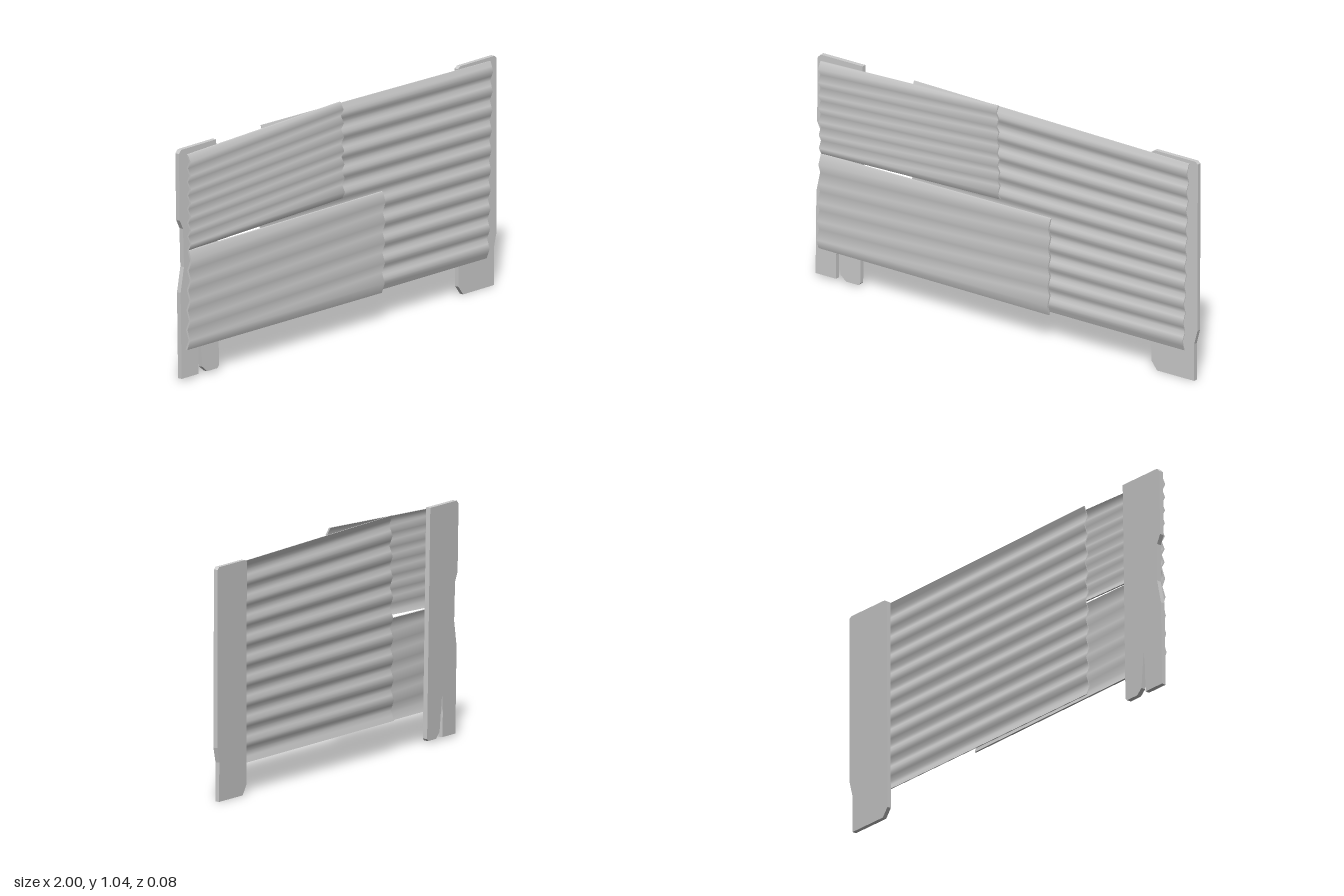
import * as THREE from 'three';

const material = new THREE.MeshStandardMaterial({ color: 0xcccccc });

// Corrugated sheet with thickness. Corners are [x, y, z] in the order
// top left, top right, bottom right, bottom left.
function corrugatedSheet(name, [tl, tr, br, bl], waves, steps, amplitude, thickness, phase) {
  const corners = [tl, tr, br, bl].map((c) => new THREE.Vector3(...c));
  const n = waves * steps;
  const pos = [], index = [];

  const point = (u, row, side) => {
    const v = row / n;
    const top = corners[0].clone().lerp(corners[1], u);
    const bottom = corners[3].clone().lerp(corners[2], u);
    const p = top.lerp(bottom, v);
    p.z += amplitude * Math.cos((row / steps) * Math.PI * 2 + phase) + side * thickness / 2;
    return p;
  };
  // A strip of quads between two rails, with its own vertices
  const strip = (count, left, right) => {
    const base = pos.length / 3;
    for (let i = 0; i <= count; i++) pos.push(...left(i).toArray(), ...right(i).toArray());
    for (let i = 0; i < count; i++) {
      const a = base + i * 2;
      index.push(a, a + 2, a + 1, a + 1, a + 2, a + 3);
    }
  };
  strip(n, (i) => point(0, i, 1), (i) => point(1, i, 1)); // front
  strip(n, (i) => point(1, i, -1), (i) => point(0, i, -1)); // back
  strip(n, (i) => point(1, i, 1), (i) => point(1, i, -1)); // right end
  strip(n, (i) => point(0, i, -1), (i) => point(0, i, 1)); // left end
  strip(1, (i) => point(0, 0, i ? 1 : -1), (i) => point(1, 0, i ? 1 : -1)); // top edge
  strip(1, (i) => point(0, n, i ? -1 : 1), (i) => point(1, n, i ? -1 : 1)); // bottom edge

  const geometry = new THREE.BufferGeometry();
  geometry.setAttribute('position', new THREE.Float32BufferAttribute(pos, 3));
  geometry.setIndex(index);
  geometry.computeVertexNormals();
  const mesh = new THREE.Mesh(geometry, material);
  mesh.name = name;
  return mesh;
}

// Board cut from an outline, its front face at frontZ at the ground
function plank(name, outline, frontZ, thickness, lean) {
  const shape = new THREE.Shape(outline.map(([x, y]) => new THREE.Vector2(x, y)));
  const geometry = new THREE.ExtrudeGeometry(shape, { depth: thickness, bevelEnabled: false });
  geometry.translate(0, 0, -thickness);
  const mesh = new THREE.Mesh(geometry, material);
  mesh.name = name;
  mesh.position.z = frontZ;
  mesh.rotation.x = lean;
  return mesh;
}

export function createModel() {
  const fence = new THREE.Group();
  fence.name = 'corrugatedFence';

  // Upright planks with chipped corners, the right-hand one in x < 0 split at its foot
  fence.add(plank('splitPlank', [
    [-1, 0.01], [-0.893, 0.01], [-0.893, 0.12], [-0.885, 0.2], [-0.868, 0.035],
    [-0.84, 0.01], [-0.775, 0.01], [-0.765, 0.02], [-0.765, 1.02], [-0.985, 1.02],
    [-1, 1.005], [-1, 0.71], [-0.98, 0.67], [-0.977, 0.5], [-1, 0.39],
  ], -0.001, 0.021, -0.016));
  fence.add(plank('chippedPlank', [
    [0.785, 0], [0.98, 0], [0.98, 0.17], [0.997, 0.235], [0.997, 1.005],
    [0.985, 1.015], [0.77, 1.015], [0.755, 1.005], [0.755, 0.04],
  ], -0.013, 0.019, -0.003));

  // Large sheet behind, two smaller sheets overlapping it in front
  fence.add(corrugatedSheet('largeSheet', [
    [-0.49, 1.025, -0.004], [0.955, 1.0, -0.004], [0.93, 0.13, -0.004], [-0.505, 0.135, -0.004],
  ], 10, 4, 0.008, 0.004, Math.PI));
  fence.add(corrugatedSheet('upperSheet', [
    [-0.97, 1.0, 0.011], [-0.025, 1.035, 0.027], [-0.015, 0.605, 0.027], [-0.965, 0.575, 0.011],
  ], 7, 2, 0.008, 0.008, Math.PI));
  fence.add(corrugatedSheet('lowerSheet', [
    [-0.965, 0.573, 0.013], [0.247, 0.578, 0.021], [0.24, 0.13, 0.021], [-0.977, 0.135, 0.013],
  ], 5, 2, 0.008, 0.009, Math.PI));

  return fence;
}
